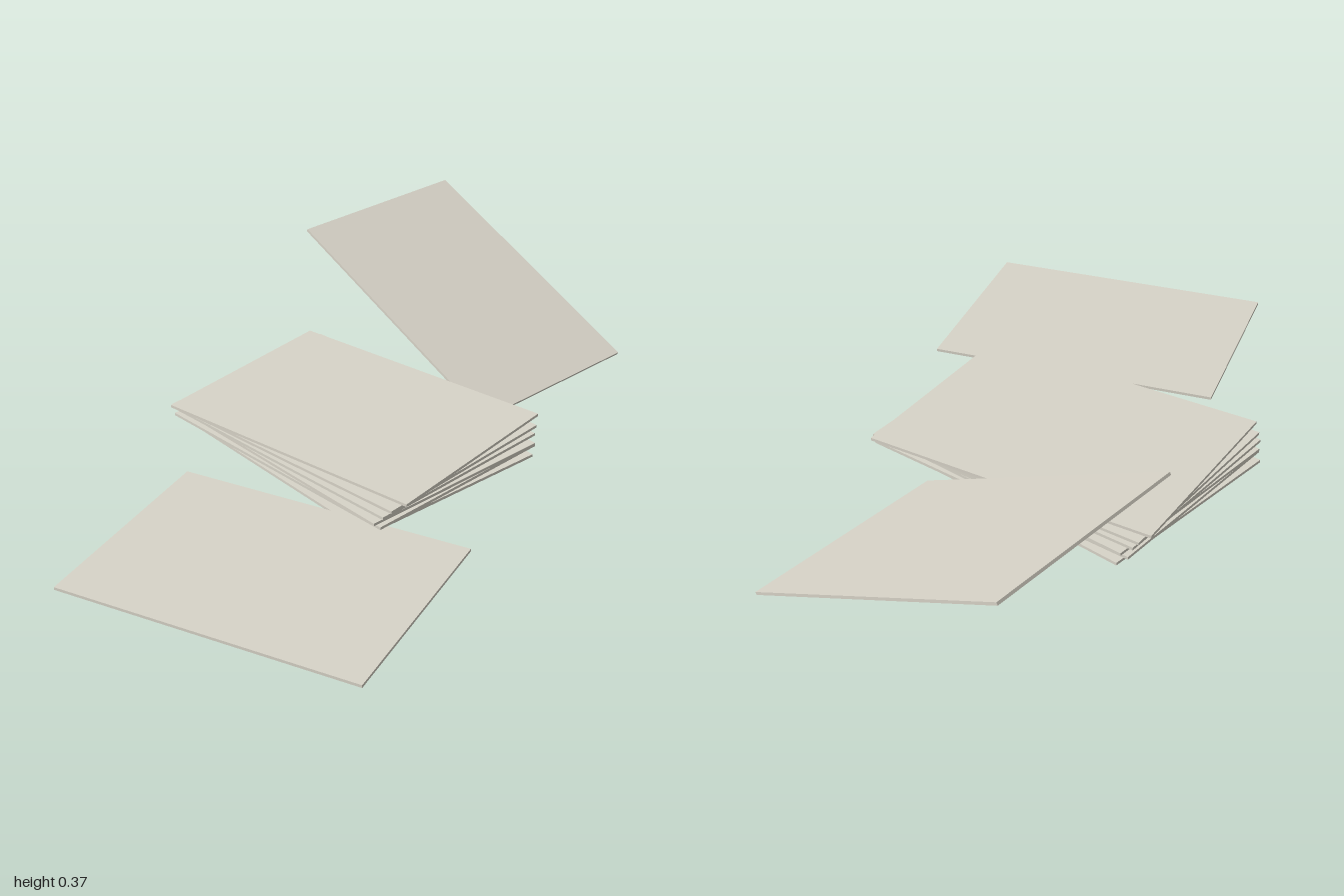
import * as THREE from 'three';

// Thin boards: a loose stack, one lying flat beside it, one tilted up.
const WIDTH = 0.61, LENGTH = 0.847, THICK = 0.008;

export function createModel() {
  const group = new THREE.Group();
  group.name = 'boards';
  const paper = new THREE.MeshStandardMaterial({ color: 0xd8d4c8 });
  paper.name = 'warm grey card';
  const geometry = new THREE.BoxGeometry(WIDTH, THICK, LENGTH);

  function addBoard(name, parent, [x, y, z], turn = 0, tilt = 0) {
    const board = new THREE.Mesh(geometry, paper);
    board.name = name;
    board.position.set(x, y, z);
    board.rotation.set(THREE.MathUtils.degToRad(tilt), THREE.MathUtils.degToRad(turn), 0);
    parent.add(board);
  }

  // Stack, bottom to top: x, z and turn in degrees
  const stack = new THREE.Group();
  stack.name = 'stack';
  group.add(stack);
  [
    [0.041, -0.142, -2.5],
    [0.045, -0.142, 1],
    [0.045, -0.14, -1],
    [0.045, -0.145, 2],
    [0.05, -0.145, 4],
    [0.055, -0.145, 8],
  ].forEach(([x, z, turn], i) =>
    addBoard(`stackedBoard${i + 1}`, stack, [x, 0.01 + i * 0.014, z], turn));

  // Flat board on the right, a little turned
  addBoard('flatBoard', group, [-0.57, 0.01, 0.207], 20);

  // Tilted board on the left, back edge raised
  addBoard('tiltedBoard', group, [0.693, 0.183, -0.33], 0, 25);

  return group;
}
